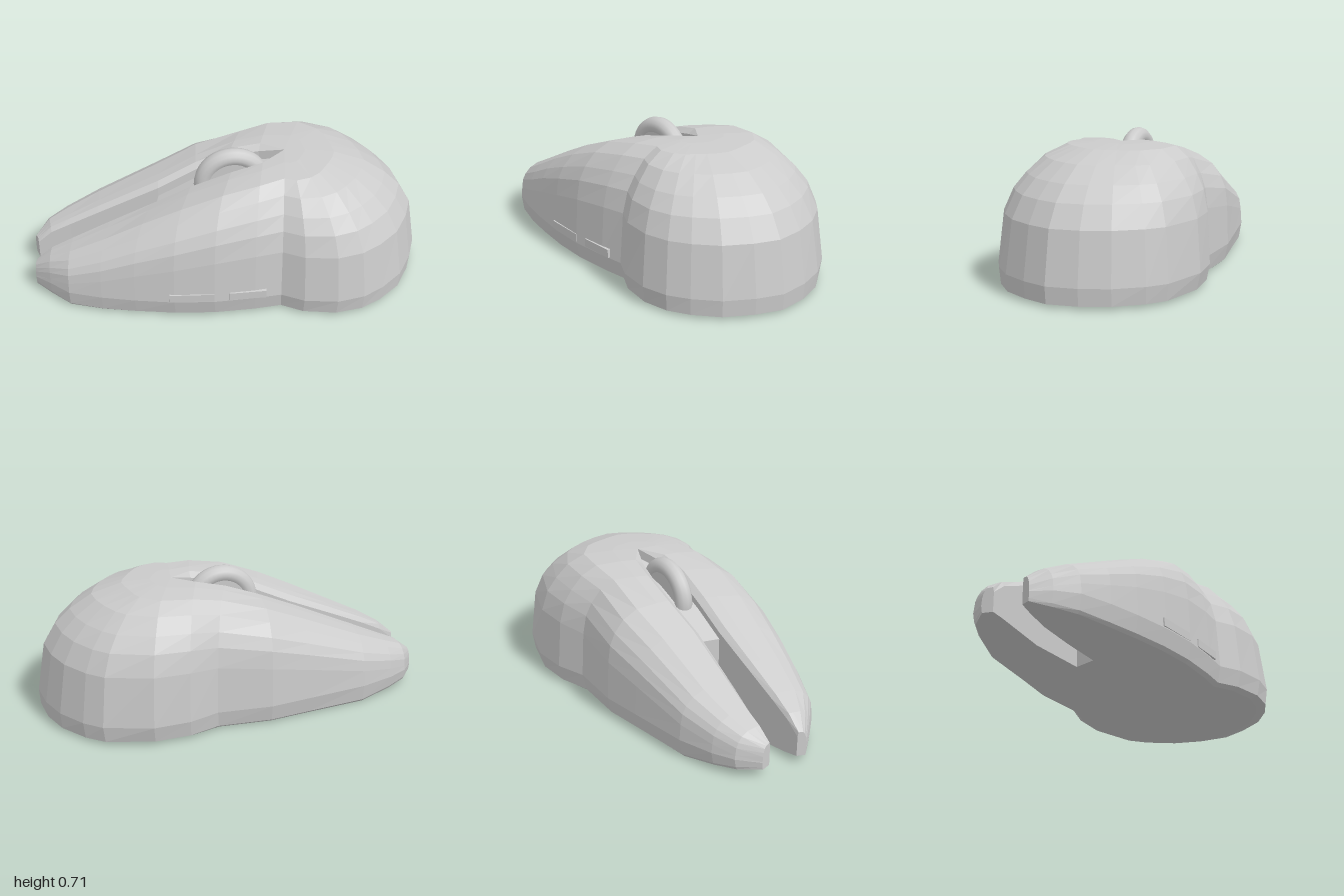
import * as THREE from 'three';

const grey = new THREE.MeshStandardMaterial({ color: 0xcccccc, flatShading: true });
const smooth = new THREE.MeshStandardMaterial({ color: 0xcccccc });
const { clamp, lerp } = THREE.MathUtils;

// Skin a row of closed rings and cap both ends with fans
function loft(rings) {
  const n = rings[0].length, pos = rings.flat(2), idx = [];
  for (let i = 0; i < rings.length - 1; i++) {
    for (let j = 0; j < n; j++) {
      const a = i * n + j, b = i * n + (j + 1) % n;
      idx.push(a, b, a + n, b, b + n, a + n);
    }
  }
  const cap = (ring, start, flip) => {
    const c = pos.length / 3;
    for (let k = 0; k < 3; k++) pos.push(ring.reduce((s, p) => s + p[k], 0) / n);
    for (let j = 0; j < n; j++) {
      const a = start + j, b = start + (j + 1) % n;
      idx.push(c, flip ? b : a, flip ? a : b);
    }
  };
  cap(rings[0], 0, true);
  cap(rings[rings.length - 1], (rings.length - 1) * n, false);
  const g = new THREE.BufferGeometry();
  g.setAttribute('position', new THREE.Float32BufferAttribute(pos, 3));
  g.setIndex(idx);
  g.computeVertexNormals();
  return g;
}

// Ribs: outer x, outer z, slot-edge x, slot-edge z, height
const backRibs = [
  [-1, 0.14, -0.97, 0.19, 0.17], [-0.95, 0.02, -0.9, 0.175, 0.23],
  [-0.86, -0.06, -0.8, 0.155, 0.275], [-0.7, -0.16, -0.65, 0.13, 0.345],
  [-0.4, -0.28, -0.34, 0.075, 0.485], [-0.2, -0.36, -0.15, 0.015, 0.575],
  [0.08, -0.41, 0.02, -0.03, 0.645], [0.22, -0.5, 0.17, -0.037, 0.675],
];
const frontRibs = [
  [0.2, 0.47, 0.2, 0.06, 0.67], [0, 0.52, 0.05, 0.11, 0.635],
  [-0.2, 0.545, -0.15, 0.15, 0.56], [-0.4, 0.55, -0.34, 0.19, 0.47],
  [-0.57, 0.545, -0.56, 0.245, 0.375], [-0.74, 0.525, -0.75, 0.295, 0.29],
  [-0.85, 0.46, -0.86, 0.325, 0.235], [-0.94, 0.4, -0.935, 0.35, 0.17],
];
// Outline of the rounded palm end, whose ribs all meet at the end of the slot
const palm = [
  [0.4, -0.555], [0.65, -0.535], [0.75, -0.48], [0.87, -0.37], [0.95, -0.24], [1, -0.09],
  [0.98, 0.05], [0.93, 0.2], [0.84, 0.32], [0.75, 0.4], [0.62, 0.455], [0.45, 0.465], [0.33, 0.43],
].map(([x, z]) => [x, z, 0.3, -0.02, 0.68]);

// Rib profiles: height fractions, and how far in the skin has moved at each
const levels = [0, 0, 0.53, 0.69, 0.8, 0.91, 0.985, 1];
const fingerInset = [0.05, 0, 0.02, 0.05, 0.12, 0.25, 0.45, 0.75];
const sideInset = [0.04, 0, 0.04, 0.1, 0.19, 0.31, 0.47, 0.75];
const rearInset = [0.01, 0, 0.06, 0.15, 0.26, 0.42, 0.64, 0.85];

function ribRing([ox, oz, ix, iz, h], slotted) {
  const side = clamp((ox + 0.1) / 0.4, 0, 1), rear = clamp((ox - 0.4) / 0.5, 0, 1);
  const base = clamp((-0.7 - ox) * 0.16, 0, 0.045);
  const at = (t, y) => [ox + (ix - ox) * t, y, oz + (iz - oz) * t];
  const ring = [at(0.1, base)];
  levels.forEach((f, k) => {
    const t = lerp(lerp(fingerInset[k], sideInset[k], side), rearInset[k], rear);
    const y = k === 0 ? base + 0.015 : k === 1 ? Math.min(0.1, h * 0.5) : h * f;
    ring.push(at(t, y));
  });
  // Bevelled slot edge, then the slot wall
  ring.push(at(slotted ? 0.92 : 1, h), at(1, slotted ? h - 0.025 : h), at(1, base));
  return ring;
}

export function createModel() {
  const model = new THREE.Group();
  const add = (name, geometry, material, x = 0, y = 0, z = 0, turn = 0) => {
    const mesh = new THREE.Mesh(geometry, material);
    mesh.name = name;
    mesh.position.set(x, y, z);
    mesh.rotation.y = turn;
    model.add(mesh);
    return mesh;
  };

  // Shell: one long finger, round the palm and back along the other finger
  add('shell', loft([
    ...backRibs.map((r) => ribRing(r, true)),
    ...palm.map((r) => ribRing(r, false)),
    ...frontRibs.map((r) => ribRing(r, true)),
  ]), grey);

  // Sunken floor of the wheel groove
  const floor = [];
  for (let i = 4; i < 8; i++) {
    const b = backRibs[i], f = frontRibs[7 - i], y = b[4] - 0.075;
    floor.push([[b[2], 0, b[3]], [b[2], y, b[3]], [f[2], y, f[3]], [f[2], 0, f[3]]]);
  }
  floor.push([[0.3, 0, -0.02], [0.3, 0.63, -0.02], [0.3, 0.63, -0.019], [0.3, 0, -0.019]]);
  add('grooveFloor', loft(floor), grey);

  // Scroll wheel
  const wheel = add('scrollWheel', new THREE.TorusGeometry(0.15, 0.046, 12, 40), smooth, 0.04, 0.517, 0.052, 0.23);
  const hub = new THREE.Mesh(new THREE.CylinderGeometry(0.15, 0.15, 0.075, 24), smooth);
  hub.name = 'wheelHub';
  hub.rotation.x = Math.PI / 2;
  wheel.add(hub);

  // Two thumb buttons with tapered outer faces
  for (const [x, z, length, turn] of [[-0.115, 0.507, 0.24, 0.14], [0.16, 0.455, 0.2, 0.22]]) {
    const g = new THREE.BoxGeometry(length, 0.06, 0.06);
    const p = g.attributes.position;
    for (let i = 0; i < p.count; i++) {
      if (p.getZ(i) > 0) p.setXY(i, p.getX(i) * 0.93, p.getY(i) * 0.7);
    }
    add('thumbButton', g, grey, x, 0.127, z, turn);
  }
  return model;
}
